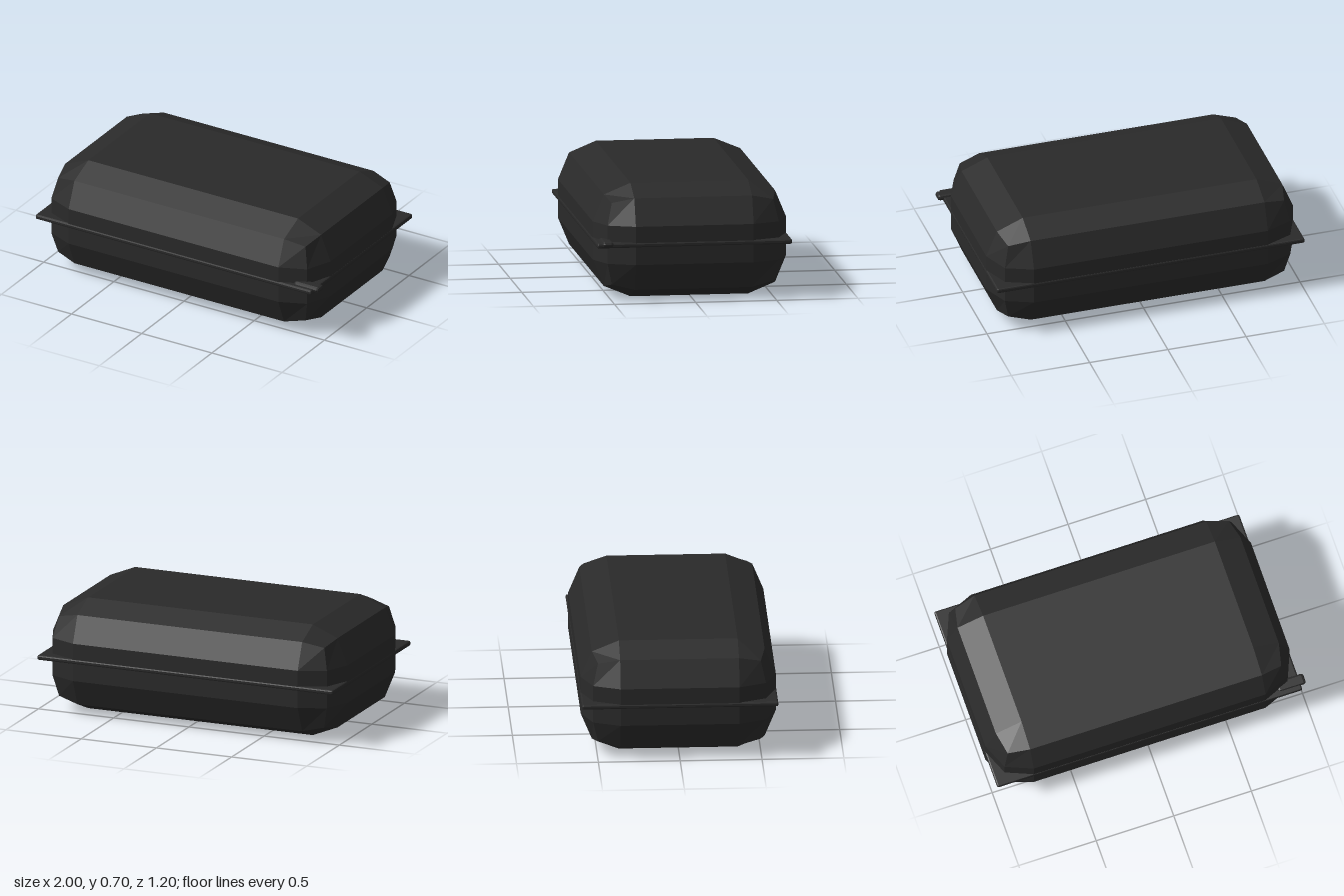
import * as THREE from 'three';
import { RoundedBoxGeometry } from 'three/addons/geometries/RoundedBoxGeometry.js';

export function createModel() {
  const model = new THREE.Group();
  model.name = 'zipCase';

  const shell = new THREE.MeshStandardMaterial({ color: 0x2a2a2a, flatShading: true });
  shell.name = 'charcoal';

  // One bevelled block: each edge is rounded with two facets
  const block = (name, size, radius, position) => {
    const mesh = new THREE.Mesh(new RoundedBoxGeometry(...size, 1, radius), shell);
    mesh.name = name;
    mesh.position.set(...position);
    model.add(mesh);
  };

  // Faceted shell of the case
  block('caseBody', [1.96, 0.703, 1.192], 0.233, [-0.0175, 0.3515, 0]);

  // Square seam plate, its corners standing out past the rounded shell
  block('zipSeam', [1.966, 0.03, 1.2], 0.009, [-0.017, 0.356, 0]);

  // Zip pull at the front left corner
  block('zipPull', [0.18, 0.036, 0.07], 0.016, [0.91, 0.367, 0.538]);

  return model;
}
